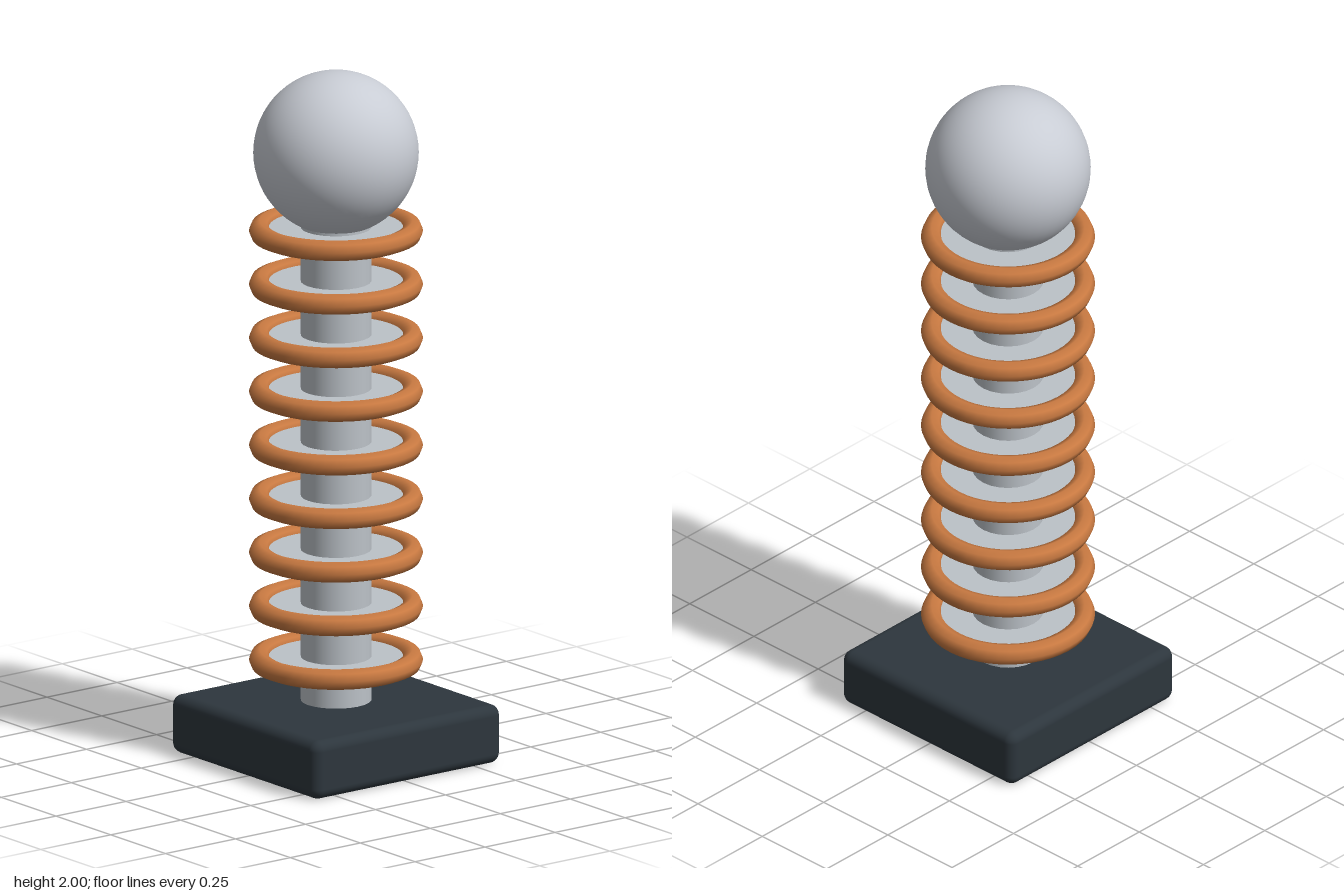
import * as THREE from 'three';
import { RoundedBoxGeometry } from 'three/addons/geometries/RoundedBoxGeometry.js';

function material(name, color) {
  const m = new THREE.MeshStandardMaterial({ color });
  m.name = name;
  return m;
}

export function createModel() {
  const dark = material('dark slate', 0x2d363d);
  const copper = material('copper', 0xc87941);
  const polished = material('polished silver', 0xc8ccd4);
  const steel = material('light steel', 0xbcc2c8);

  const model = new THREE.Group();
  model.name = 'ringedColumn';
  const add = (parent, name, geometry, mat, y) => {
    const mesh = new THREE.Mesh(geometry, mat);
    mesh.name = name;
    mesh.position.y = y;
    parent.add(mesh);
    return mesh;
  };

  // Square plinth with softened edges
  add(model, 'base', new RoundedBoxGeometry(0.67, 0.17, 0.67, 4, 0.03), dark, 0.085);

  // Central post, running from the base into the ball
  add(model, 'column', new THREE.CylinderGeometry(0.1, 0.1, 1.5, 24), steel, 0.9);

  // Nine evenly spaced copper coils, each around a thin disc
  const ringGeometry = new THREE.TorusGeometry(0.215, 0.03, 8, 48).rotateX(Math.PI / 2);
  const discGeometry = new THREE.CylinderGeometry(0.21, 0.21, 0.02, 48);
  for (let i = 0; i < 9; i++) {
    const stage = new THREE.Group();
    stage.name = `stage${i + 1}`;
    stage.position.y = 0.287 + i * 0.1565;
    add(stage, 'ring', ringGeometry, copper, 0);
    add(stage, 'disc', discGeometry, steel, 0);
    model.add(stage);
  }

  // Ball on top
  add(model, 'ball', new THREE.SphereGeometry(0.233, 48, 32), polished, 1.767);

  return model;
}
